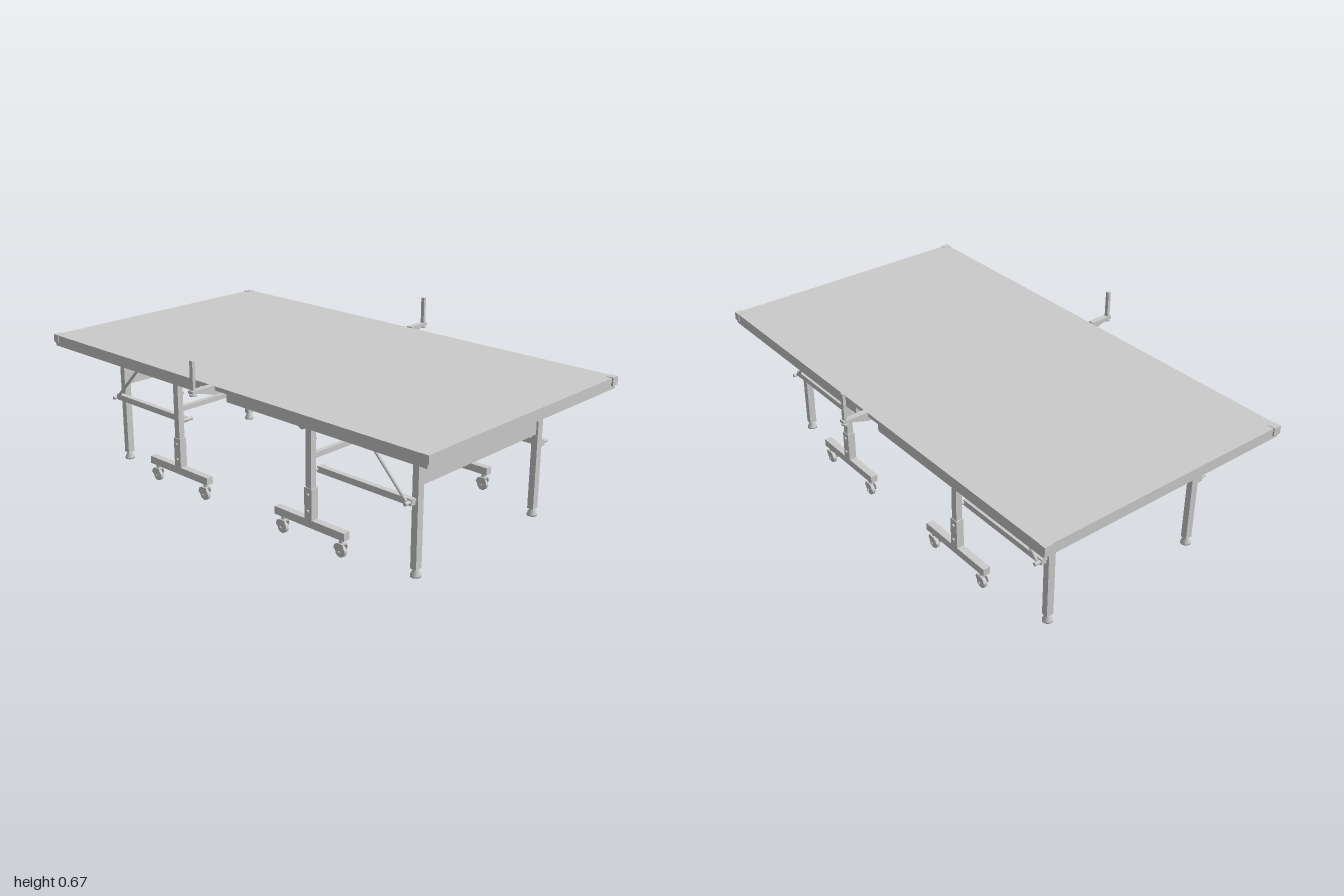
import * as THREE from 'three';

const mat = new THREE.MeshStandardMaterial({ color: 0xcccccc });

export function createModel() {
  const root = new THREE.Group();
  root.name = 'foldingTable';

  const add = (name, geo, x = 0, y = 0, z = 0, parent = root) => {
    const m = new THREE.Mesh(geo, mat);
    m.name = name;
    m.position.set(x, y, z);
    parent.add(m);
    return m;
  };
  // box given by its lower and upper corner heights
  const box = (name, w, y0, y1, d, x, z, parent) =>
    add(name, new THREE.BoxGeometry(w, y1 - y0, d), x, (y0 + y1) / 2, z, parent);
  // round pin lying along x
  const pin = (name, r, len, x, y, z, parent) => {
    const m = add(name, new THREE.CylinderGeometry(r, r, len, 16), x, y, z, parent);
    m.rotation.z = Math.PI / 2;
    return m;
  };
  // round bar between two points
  const bar = (name, a, b, r, parent) => {
    const d = b.clone().sub(a);
    const m = add(name, new THREE.CylinderGeometry(r, r, d.length(), 8), 0, 0, 0, parent);
    m.position.copy(a).add(b).multiplyScalar(0.5);
    m.quaternion.setFromUnitVectors(new THREE.Vector3(0, 1, 0), d.normalize());
    return m;
  };

  // playing surface, one slab per half
  for (const s of [1, -1]) box('tableTop', 1.11, 0.54, 0.556, 0.995, 0, s * 0.4975);

  const footGeo = new THREE.LatheGeometry(
    [[0, 0], [0.02, 0], [0.02, 0.006], [0.011, 0.026], [0.011, 0.034], [0, 0.034]]
      .map(([x, y]) => new THREE.Vector2(x, y)), 20);

  // caster hood in side view
  const hood = new THREE.Shape();
  hood.moveTo(-0.026, 0.034);
  hood.lineTo(-0.02, 0.05);
  hood.lineTo(-0.006, 0.056);
  hood.lineTo(0.018, 0.056);
  hood.lineTo(0.022, 0.044);
  hood.lineTo(0.008, 0.018);
  hood.lineTo(-0.008, 0.018);
  const hoodGeo = new THREE.ExtrudeGeometry(hood, { depth: 0.004, bevelEnabled: false });
  hoodGeo.translate(0, 0, -0.002).rotateY(-Math.PI / 2);

  function addCaster(x, z) {
    const c = new THREE.Group();
    c.name = 'caster';
    c.position.set(x, 0, z);
    root.add(c);
    pin('wheel', 0.023, 0.013, 0, 0.023, 0, c);
    pin('axle', 0.005, 0.034, 0, 0.023, 0, c);
    for (const s of [1, -1]) add('forkCheek', hoodGeo, s * 0.011, 0, 0, c);
    box('forkCrown', 0.026, 0.05, 0.056, 0.026, 0, 0.004, c);
    add('stem', new THREE.CylinderGeometry(0.008, 0.008, 0.018, 16), 0, 0.063, 0.002, c);
  }

  for (const sz of [1, -1]) {
    // end rail of the frame, panel and cross bar
    box('endRail', 1.05, 0.51, 0.545, 0.03, 0, sz * 0.978);
    box('endPanel', 0.68, 0.335, 0.41, 0.012, 0, sz * 0.797);
    box('crossBar', 0.83, 0.335, 0.355, 0.02, 0, sz * 0.365);

    for (const sx of [1, -1]) {
      // side rail and corner protector
      box('sideRail', 0.03, 0.51, 0.545, 0.92, sx * 0.539, sz * 0.533);
      box('cornerCap', 0.034, 0.525, 0.558, 0.03, sx * 0.541, sz * 0.985);

      // end leg with levelling foot
      box('endLeg', 0.03, 0.03, 0.542, 0.026, sx * 0.352, sz * 0.798);
      add('levellingFoot', footGeo, sx * 0.352, 0, sz * 0.798);

      // wheeled leg with sleeve, beam and bolts
      const x = sx * 0.422;
      box('wheelLeg', 0.026, 0.1, 0.542, 0.027, x, sz * 0.365);
      box('legSleeve', 0.032, 0.1, 0.225, 0.037, x, sz * 0.365);
      box('wheelBeam', 0.03, 0.072, 0.103, 0.35, x, sz * 0.365);
      for (const y of [0.135, 0.2]) {
        pin('legBolt', 0.006, 0.044, x, y, sz * 0.365);
      }
      addCaster(x, sz * 0.513);
      addCaster(x, sz * 0.22);

      // linkage joining the two legs
      box('linkBar', 0.022, 0.277, 0.301, 0.435, sx * 0.385, sz * 0.588);
      pin('linkPin', 0.007, 0.08, sx * 0.392, 0.289, sz * 0.37);
      pin('linkPin', 0.007, 0.08, sx * 0.38, 0.289, sz * 0.797);
      pin('legStud', 0.007, 0.014, sx * 0.405, 0.41, sz * 0.365);

      // folding stay up to the underside
      bar('diagonalStay', new THREE.Vector3(sx * 0.403, 0.292, sz * 0.79),
        new THREE.Vector3(sx * 0.403, 0.515, sz * 0.572), 0.006);
      box('stayBracket', 0.02, 0.505, 0.541, 0.02, sx * 0.403, sz * 0.57);
    }
  }

  // net post brackets, turned round for the other side
  const arm = new THREE.Shape();
  arm.moveTo(0.525, 0.523);
  arm.lineTo(0.555, 0.523);
  arm.lineTo(0.63, 0.546);
  arm.lineTo(0.661, 0.549);
  arm.lineTo(0.661, 0.56);
  arm.lineTo(0.556, 0.56);
  arm.lineTo(0.556, 0.539);
  arm.lineTo(0.525, 0.539);
  const armGeo = new THREE.ExtrudeGeometry(arm, { depth: 0.024, bevelEnabled: false });
  armGeo.translate(0, 0, -0.012);
  for (const turn of [0, Math.PI]) {
    const g = new THREE.Group();
    g.name = 'netPostAssembly';
    g.rotation.y = turn;
    root.add(g);
    add('netArm', armGeo, 0, 0, 0, g);
    box('netPost', 0.012, 0.555, 0.67, 0.016, 0.648, 0, g);
    add('clampScrew', new THREE.CylinderGeometry(0.006, 0.006, 0.014, 12), 0.648, 0.547, 0, g);
    add('clampKnob', new THREE.CylinderGeometry(0.014, 0.014, 0.006, 16), 0.648, 0.542, 0, g);
  }

  return root;
}
